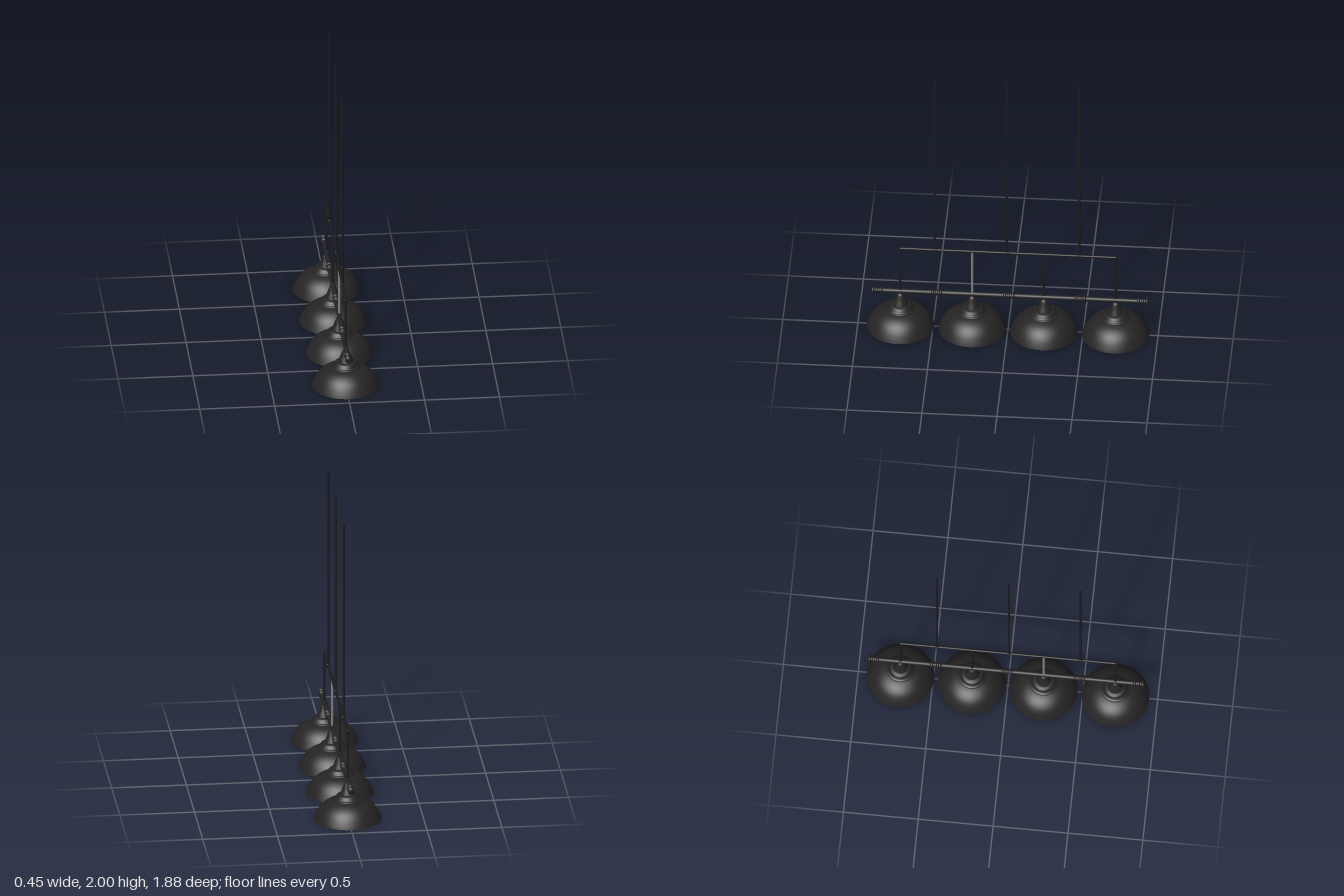
import * as THREE from 'three';

const black = new THREE.MeshStandardMaterial({ color: 0x252323, side: THREE.DoubleSide });
const metal = new THREE.MeshStandardMaterial({ color: 0x1c1c1f });
const grey = new THREE.MeshStandardMaterial({ color: 0x808080 });

function add(parent, name, geometry, material, x = 0, y = 0, z = 0) {
  const mesh = new THREE.Mesh(geometry, material);
  mesh.name = name;
  mesh.position.set(x, y, z);
  parent.add(mesh);
  return mesh;
}

// Upright rod between two heights
function rod(parent, name, z, y0, y1, r, material = metal) {
  add(parent, name, new THREE.CylinderGeometry(r, r, y1 - y0, 16), material, 0, (y0 + y1) / 2, z);
}

// Smooth curve through a few radius/height pairs
const smooth = (pairs, n) =>
  new THREE.SplineCurve(pairs.map(([r, y]) => new THREE.Vector2(r, y))).getPoints(n);

export function createModel() {
  const model = new THREE.Group();
  model.name = 'hangingLampBar';

  // Shade parts: wide dome, stepped collar and conical neck
  const dome = new THREE.LatheGeometry(smooth(
    [[0.225, 0], [0.215, 0.025], [0.197, 0.06], [0.172, 0.092], [0.138, 0.118], [0.098, 0.135], [0.06, 0.143]], 24), 48);
  const collar = new THREE.LatheGeometry(smooth(
    [[0.098, 0.133], [0.096, 0.142], [0.085, 0.148], [0.077, 0.16], [0.068, 0.17], [0.05, 0.176], [0.03, 0.178]], 20), 40);
  const neck = new THREE.LatheGeometry(smooth(
    [[0.052, 0.172], [0.045, 0.19], [0.036, 0.212], [0.028, 0.235], [0.022, 0.25], [0.012, 0.26]], 16), 32);
  const underside = new THREE.CircleGeometry(0.223, 48).rotateX(Math.PI / 2);

  const lampZ = [0.717, 0.239, -0.239, -0.717];
  lampZ.forEach((z, i) => {
    const lamp = new THREE.Group();
    lamp.name = 'lamp' + (i + 1);
    lamp.position.z = z;
    model.add(lamp);
    add(lamp, 'dome', dome, black);
    add(lamp, 'collar', collar, black);
    add(lamp, 'neck', neck, black);
    add(lamp, 'underside', underside, black, 0, 0.003, 0);
    rod(lamp, 'stem', 0, 0.255, 0.622, i === 1 ? 0.008 : 0.009, i === 1 ? grey : metal);
  });

  // Thick lower bar with groups of three beads
  const barY = 0.275;
  add(model, 'lowerBar', new THREE.CylinderGeometry(0.016, 0.016, 1.81, 24).rotateX(Math.PI / 2),
    black, 0, barY, -0.013);
  const bead = new THREE.SphereGeometry(0.023, 24, 16).scale(1, 1, 0.62);
  [0.873, 0.476, -0.006, -0.482, -0.898].forEach((z, i) => {
    for (const k of [-1, 0, 1]) {
      const b = add(model, 'bead', bead, black, 0, barY, z + k * 0.027);
      if (k === 0) b.scale.set(0.88, 0.88, 1);
    }
  });

  // Thin upper bar, with rounded ends
  add(model, 'upperBar', new THREE.CylinderGeometry(0.009, 0.009, 1.434, 16).rotateX(Math.PI / 2),
    metal, 0, 0.622, 0);
  const ball = new THREE.SphereGeometry(0.009, 16, 12);
  for (const z of [0.717, -0.717]) add(model, 'barCorner', ball, metal, 0, 0.622, z);

  // Ceiling rods and their joints
  const joint = new THREE.SphereGeometry(0.014, 20, 14);
  for (const z of [0.487, 0.007, -0.474]) {
    rod(model, 'ceilingRod', z, 0.622, 2, 0.008);
    add(model, 'rodJoint', joint, metal, 0, 0.622, z);
  }
  return model;
}
